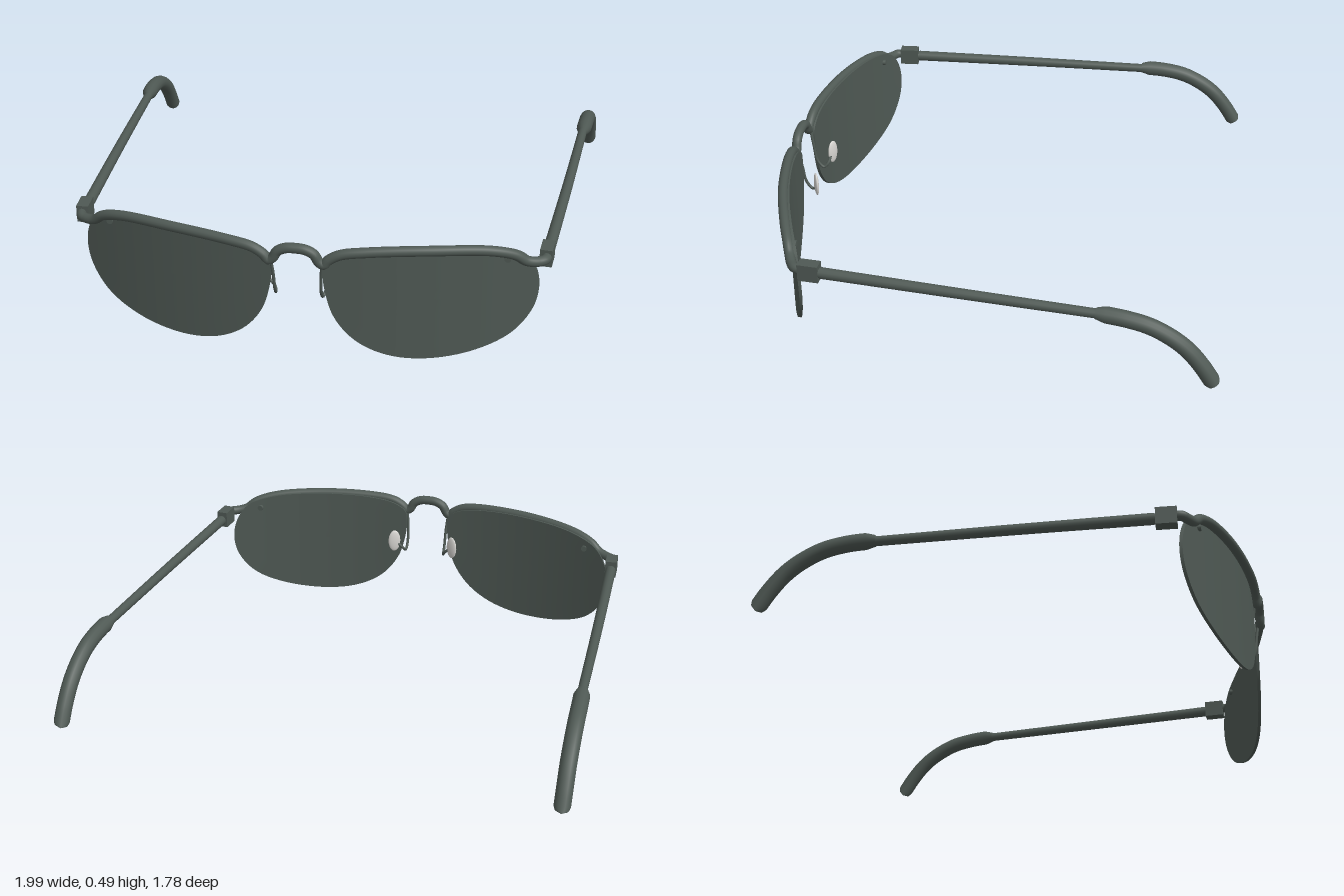
import * as THREE from 'three';
import { toCreasedNormals } from 'three/addons/utils/BufferGeometryUtils.js';

const frameMat = new THREE.MeshStandardMaterial({ color: 0x4f5954 });
frameMat.name = 'dark green grey';
const padMat = new THREE.MeshStandardMaterial({ color: 0xd8d6d2 });
padMat.name = 'pale silicone';

const v = (x, y, z) => new THREE.Vector3(x, y, z);
const frameZ = (x) => 0.874 - 0.27 * x * x;
const lensZ = (x) => 0.855 - 0.275 * x * x;

function part(name, geometry, material = frameMat) {
  const mesh = new THREE.Mesh(geometry, material);
  mesh.name = name;
  return mesh;
}

// Tube along a smooth path with a radius rule; the end rings close to a point
function sweep(points, radius, segments = 60, sides = 14) {
  const curve = new THREE.CatmullRomCurve3(points, false, 'centripetal');
  const geo = new THREE.TubeGeometry(curve, segments, 1, sides);
  const pos = geo.attributes.position, p = new THREE.Vector3();
  for (let i = 0; i <= segments; i++) {
    const t = i / segments, c = curve.getPointAt(t);
    const r = i === 0 || i === segments ? 0.0005 : radius(t);
    for (let j = 0; j <= sides; j++) {
      const k = i * (sides + 1) + j;
      p.fromBufferAttribute(pos, k).sub(c).multiplyScalar(r).add(c);
      pos.setXYZ(k, p.x, p.y, p.z);
    }
  }
  return geo;
}

// Curved lens: scaled rings of one outline, front sheet then back sheet
const outline = [
  [0.1, 0.41], [0.15, 0.445], [0.26, 0.467], [0.48, 0.476], [0.68, 0.463], [0.79, 0.425],
  [0.838, 0.36], [0.855, 0.27], [0.835, 0.18], [0.765, 0.09], [0.63, 0.028], [0.45, 0.006],
  [0.31, 0.03], [0.205, 0.09], [0.135, 0.18], [0.106, 0.27], [0.095, 0.35],
];
function lensGeometry(s) {
  const curve = new THREE.CatmullRomCurve3(outline.map(([x, y]) => v(x * s, y, 0)), true);
  const rim = curve.getPoints(96).slice(0, 96);
  if (s > 0) rim.reverse(); // keep the rim counter-clockwise from the front
  const scales = [0.001, 0.2, 0.4, 0.6, 0.8, 1];
  const rings = [...scales.map((k) => [k, 0.006]), ...scales.reverse().map((k) => [k, -0.006])];
  const n = rim.length, positions = [], index = [];
  rings.forEach(([k, dz], i) => rim.forEach((p, j) => {
    const x = s * 0.475 + k * (p.x - s * 0.475), y = 0.26 + k * (p.y - 0.26);
    positions.push(x, y, lensZ(x) + dz);
    if (i === rings.length - 1) return;
    const a = i * n + j, d = i * n + (j + 1) % n;
    index.push(a, a + n, d + n, a, d + n, d);
  }));
  const geo = new THREE.BufferGeometry();
  geo.setAttribute('position', new THREE.Float32BufferAttribute(positions, 3));
  geo.setIndex(index);
  return toCreasedNormals(geo, 0.7);
}

export function createModel() {
  const model = new THREE.Group();
  model.name = 'sunglasses';

  // Brow bar and bridge in one bent rod, turning back into the hinges
  const half = [
    [0.035, 0.464], [0.066, 0.448], [0.083, 0.42], [0.1, 0.408], [0.118, 0.428], [0.16, 0.452],
    [0.25, 0.466], [0.48, 0.472], [0.68, 0.458], [0.765, 0.432], [0.805, 0.402], [0.845, 0.392],
  ].map(([x, y]) => v(x, y, frameZ(x)));
  half.push(v(0.87, 0.392, 0.662), v(0.876, 0.39, 0.61));
  const mirrored = half.map((p) => v(-p.x, p.y, p.z)).reverse();
  model.add(part('browBar', sweep([...mirrored, v(0, 0.467, 0.874), ...half], () => 0.019, 260)));

  for (const [side, s] of [['left', 1], ['right', -1]]) {
    model.add(part(side + 'Lens', lensGeometry(s)));

    // Lens screw
    const screw = part(side + 'LensScrew', new THREE.CylinderGeometry(0.012, 0.012, 0.03, 16));
    screw.rotation.set(Math.PI / 2, 0, 0);
    screw.position.set(s * 0.74, 0.41, lensZ(0.74));
    model.add(screw);

    // Hinge block
    const hinge = part(side + 'Hinge', new THREE.BoxGeometry(0.046, 0.068, 0.078));
    hinge.position.set(s * 0.874, 0.387, 0.608);
    hinge.rotation.y = -s * 0.07;
    model.add(hinge);

    // Temple arm
    model.add(part(side + 'Temple', sweep(
      [v(s * 0.876, 0.386, 0.6), v(s * 0.914, 0.377, 0.06), v(s * 0.948, 0.367, -0.48)],
      (t) => 0.022 - 0.004 * t, 30)));

    // Curved ear tip with a swollen start
    model.add(part(side + 'EarTip', sweep([
      v(s * 0.946, 0.369, -0.435), v(s * 0.95, 0.368, -0.48), v(s * 0.955, 0.362, -0.55),
      v(s * 0.959, 0.344, -0.633), v(s * 0.962, 0.307, -0.71), v(s * 0.964, 0.259, -0.773),
      v(s * 0.966, 0.193, -0.828), v(s * 0.967, 0.116, -0.877),
    ], (t) => 0.031 * Math.min(1, 0.6 + t * 5, 0.6 + (1 - t) * 9), 60)));

    // Nose pad wire, dropping from the bridge and hooking back
    model.add(part(side + 'PadArm', sweep([
      v(s * 0.094, 0.405, 0.862), v(s * 0.088, 0.34, 0.852), v(s * 0.086, 0.27, 0.84),
      v(s * 0.088, 0.24, 0.815), v(s * 0.096, 0.255, 0.797), v(s * 0.13, 0.29, 0.79),
    ], () => 0.006, 40, 8)));

    // Nose pad
    const pad = part(side + 'NosePad', new THREE.SphereGeometry(1, 20, 14), padMat);
    pad.scale.set(0.027, 0.05, 0.009);
    pad.position.set(s * 0.133, 0.29, 0.785);
    pad.rotation.y = s * 0.45;
    model.add(pad);
  }
  return model;
}
